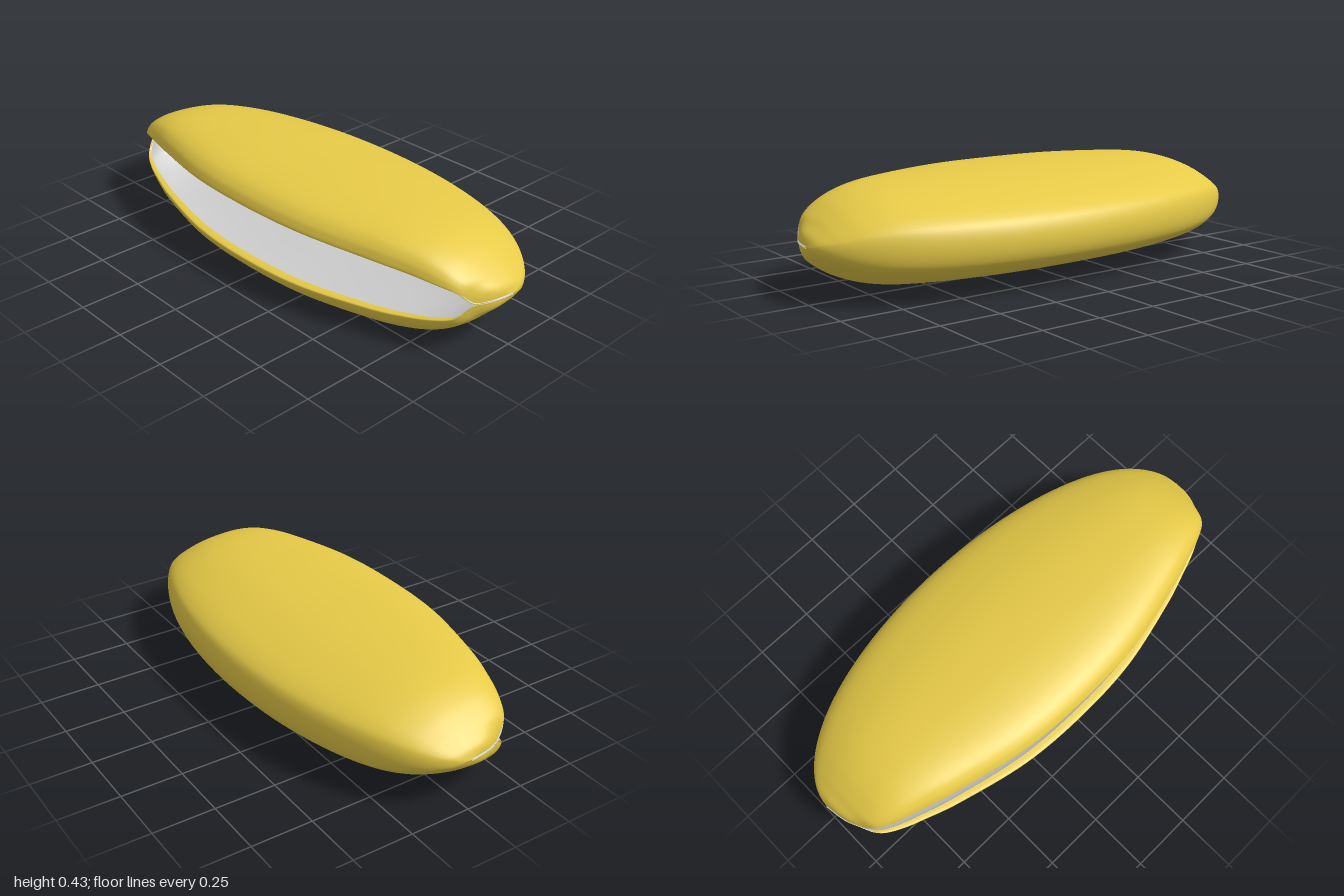
import * as THREE from 'three';

const MID = 0.217; // height of the fold line

// Stations along half the length: z, half height, lip reach (-x), half gap between lips
const STATIONS = [
  [0, 0.215, 0.42, 0.12], [0.3, 0.213, 0.402, 0.117], [0.6, 0.2, 0.335, 0.105],
  [0.75, 0.18, 0.288, 0.092], [0.85, 0.145, 0.252, 0.075], [0.92, 0.1, 0.212, 0.052],
  [0.955, 0.068, 0.16, 0.004], [0.985, 0.037, 0.09, 0], [1, 0, 0, 0],
];

// Upper half of the cross-section from the curled lip to the spine:
// u across the width, then y = lip * gap + top * height
const PROFILE = [
  [0.04, 0.93, 0], [0.012, 0.95, 0], [0, 1, 0], [0.008, 0.8, 0.2], [0.027, 0.55, 0.45],
  [0.075, 0.26, 0.74], [0.165, 0.07, 0.93], [0.3, 0, 1], [0.5, 0, 0.955],
  [0.68, 0, 0.84], [0.857, 0, 0.63], [0.952, 0, 0.44], [0.988, 0, 0.26], [1, 0, 0],
];

const spline = (points) => new THREE.CatmullRomCurve3(points, false, 'catmullrom');

// Folded skin lofted through the stations; inset > 0 gives the lining, facing inward
function skin(inset) {
  const ends = STATIONS.slice(1).reverse().map(([z, ...rest]) => [-z, ...rest]);
  const all = [...ends, ...STATIONS];
  const body = spline(all.map(([z, h, reach]) => new THREE.Vector3(z, h, reach)));
  const gaps = spline(all.map(([z, , , gap]) => new THREE.Vector3(z, gap, 0)));
  const lower = PROFILE.slice(0, -1).reverse().map(([u, l, t]) => [u, -l, -t]);
  const section = spline([...PROFILE, ...lower].map((p) => new THREE.Vector3(...p)));

  const rows = 128, cols = 104;
  const positions = [], index = [];
  for (let i = 0; i <= rows; i++) {
    const { x: zRaw, y: height, z: reach } = body.getPoint(i / rows);
    const z = THREE.MathUtils.clamp(zRaw, -1, 1);
    const gap = Math.max(0, gaps.getPoint(i / rows).y);
    const spine = 0.42 * Math.sqrt(1 - z * z);
    for (let j = 0; j <= cols; j++) {
      const s = section.getPoint(j / cols);
      positions.push(-reach + s.x * (reach + spine), MID + s.y * gap + s.z * height, z);
      if (i < rows && j < cols) {
        const a = i * (cols + 1) + j, b = a + cols + 1;
        index.push(a, b, a + 1, b, b + 1, a + 1);
      }
    }
  }
  const geometry = new THREE.BufferGeometry();
  geometry.setAttribute('position', new THREE.Float32BufferAttribute(positions, 3));
  geometry.setIndex(index);
  geometry.computeVertexNormals();

  if (inset > 0) {
    const p = geometry.attributes.position, n = geometry.attributes.normal;
    for (let k = 0; k < p.count; k++) {
      p.setXYZ(k, p.getX(k) - n.getX(k) * inset, p.getY(k) - n.getY(k) * inset, p.getZ(k) - n.getZ(k) * inset);
    }
    geometry.setIndex(index.reverse());
    geometry.computeVertexNormals();
  }
  return geometry;
}

export function createModel() {
  const model = new THREE.Group();
  model.name = 'foldedShell';

  // Outer skin with the lips curled in
  const shell = new THREE.Mesh(skin(0), new THREE.MeshStandardMaterial({ color: 0xe6ca47 }));
  shell.name = 'outerShell';

  // Pale lining of the hollow
  const lining = new THREE.Mesh(skin(0.004), new THREE.MeshStandardMaterial({ color: 0xcccccc }));
  lining.name = 'innerLining';

  model.add(shell, lining);
  return model;
}
